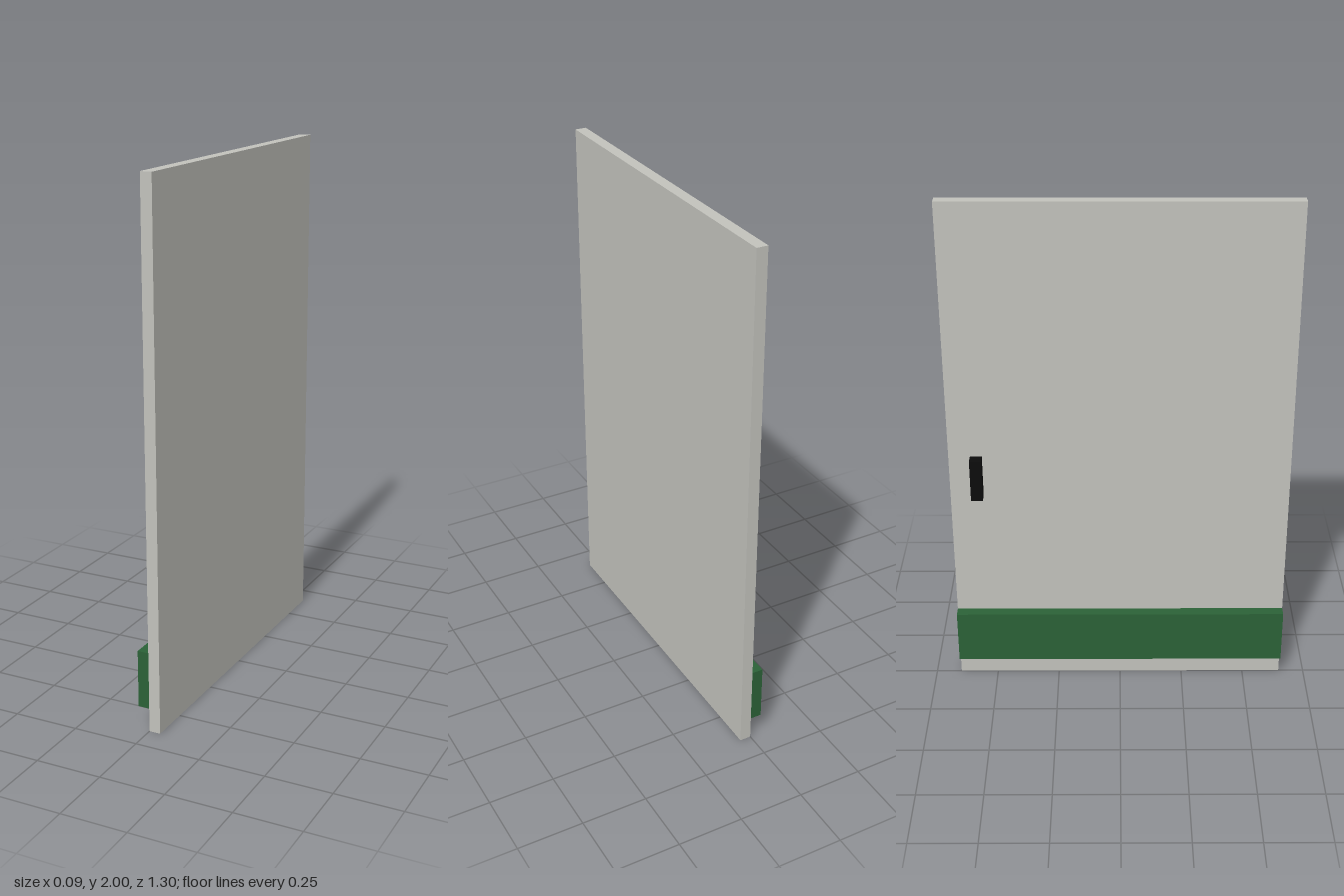
import * as THREE from 'three';

export function createModel() {
  const material = (name, color) => {
    const m = new THREE.MeshStandardMaterial({ color });
    m.name = name;
    return m;
  };
  const grey = material('pale grey', 0xc2c2bc);
  const green = material('dark green', 0x2b6237);
  const black = material('black', 0x0b0b0b);

  const door = new THREE.Group();
  door.name = 'door';

  // Box given by its lower and upper corners
  const addBox = (name, mat, min, max) => {
    const size = max.map((v, i) => v - min[i]);
    const mesh = new THREE.Mesh(new THREE.BoxGeometry(...size), mat);
    mesh.position.set(...max.map((v, i) => (v + min[i]) / 2));
    mesh.name = name;
    door.add(mesh);
  };

  // Door leaf
  addBox('panel', grey, [0, 0, -0.65], [0.043, 2, 0.65]);
  // Kick rail across the full width
  addBox('kickRail', green, [-0.043, 0.09, -0.65], [0, 0.307, 0.65]);
  // Upright handle near the back edge
  addBox('handle', black, [-0.043, 0.83, -0.568], [0, 1.0, -0.523]);

  return door;
}
